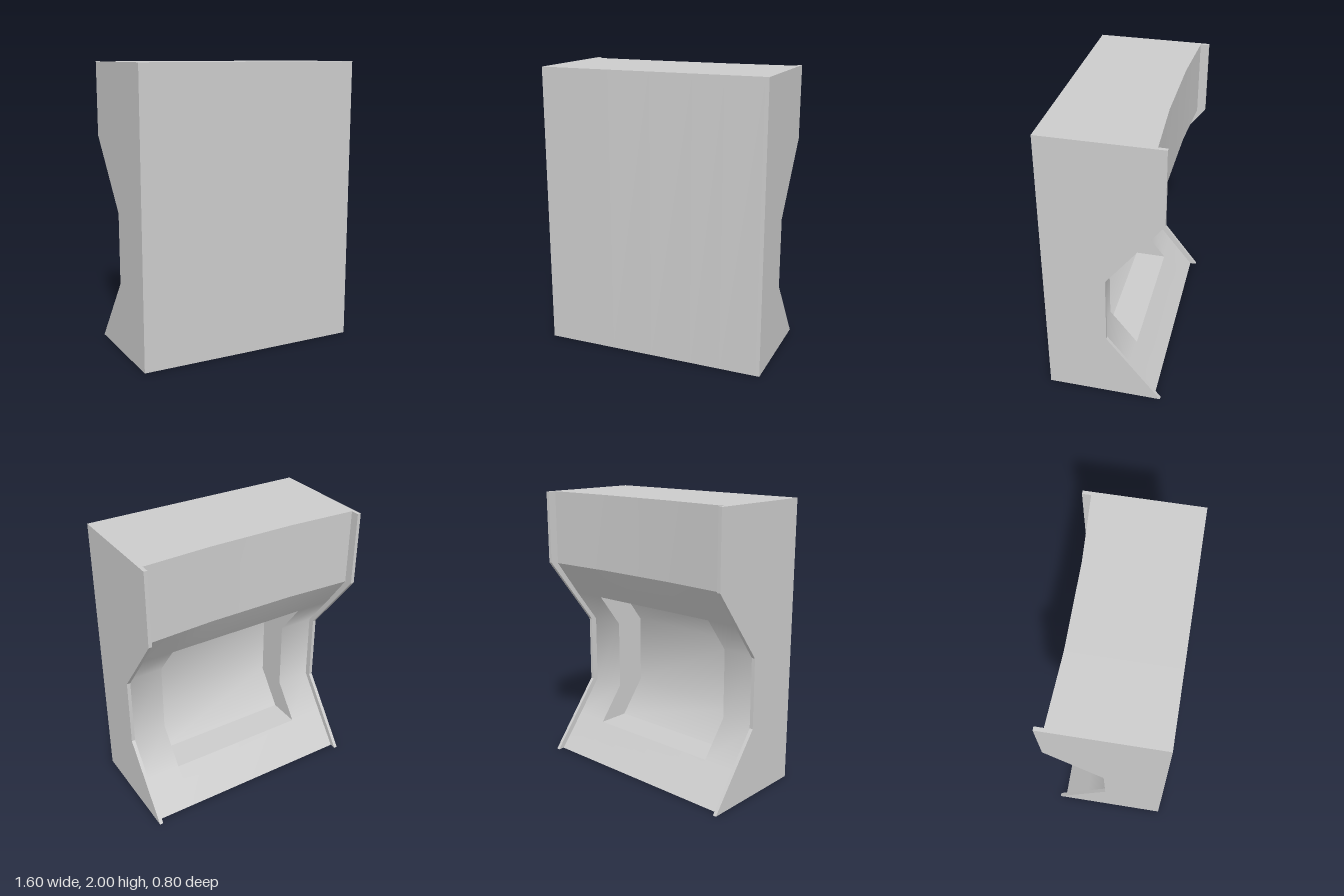
import * as THREE from 'three';

const material = new THREE.MeshStandardMaterial({ color: 0xcccccc, side: THREE.DoubleSide });

// Smooth surface through rows of points; skip(row, col) leaves a cell open
function sheet(name, rows, skip = () => false) {
  const n = rows[0].length, full = [], kept = [];
  for (let r = 0; r < rows.length - 1; r++) {
    for (let c = 0; c < n - 1; c++) {
      const a = r * n + c, b = a + n;
      const cell = [a, b, a + 1, a + 1, b, b + 1];
      full.push(...cell);
      if (!skip(r, c)) kept.push(...cell);
    }
  }
  const geo = new THREE.BufferGeometry();
  geo.setAttribute('position', new THREE.Float32BufferAttribute(rows.flat(2), 3));
  geo.setIndex(full);
  geo.computeVertexNormals();
  geo.setIndex(kept);
  const mesh = new THREE.Mesh(geo, material);
  mesh.name = name;
  return mesh;
}

export function createModel() {
  const group = new THREE.Group();
  group.name = 'cabinet';

  const W = 0.775;      // half width of the body between the side panels
  const H = 0.515;      // half width of the recess
  const DEPTH = 0.235;  // depth of the recess
  const FRONT = 0.4;
  const xs = [-W, -H, -0.3, 0, 0.3, H, W];
  const bow = x => -0.315 - 0.025 * Math.max(0, (Math.abs(x) - 0.3) / (W - 0.3));

  // Side panels with the notched outline, drawn in (z, y)
  const outline = new THREE.Shape([
    [FRONT, 0], [FRONT, 2], [-0.4, 2], [-0.4, 1.485], [-0.02, 0.99], [-0.02, 0.495], [-0.4, 0],
  ].map(([z, y]) => new THREE.Vector2(-z, y)));
  for (const side of [-1, 1]) {
    const geo = new THREE.ExtrudeGeometry(outline, { depth: 0.025, bevelEnabled: false });
    geo.rotateY(Math.PI / 2);
    geo.translate(side > 0 ? W : -0.8, 0, 0);
    const panel = new THREE.Mesh(geo, material);
    panel.name = side > 0 ? 'leftSidePanel' : 'rightSidePanel';
    group.add(panel);
  }

  // Notched back face with an opening, its top edge gently bowed
  const profile = [[0, -0.355], [0.235, -0.168], [0.485, 0.025], [0.985, 0.025], [1.225, -0.158]];
  const bowedRow = y => xs.map(x => [x, y, bow(x)]);
  const backRows = profile.map(([y, z]) => xs.map(x => [x, y, z]));
  backRows.push(bowedRow(1.475));
  group.add(sheet('notchedBack', backRows, (r, c) => r >= 1 && r <= 3 && c >= 1 && c <= 4));
  group.add(sheet('upperBack', [bowedRow(1.475), bowedRow(2)]));

  // Recess: floor parallel to the notch, and four walls
  const hole = profile.slice(1);
  const [low, high] = [hole[0], hole[3]];
  const line = ([y, z], d) => [[-H, y, z + d], [H, y, z + d]];
  group.add(sheet('recessFloor', hole.map(p => line(p, DEPTH))));
  group.add(sheet('recessBottom', [line(low, 0), line(low, DEPTH)]));
  group.add(sheet('recessTop', [line(high, DEPTH), line(high, 0)]));
  // Separate quads keep the side walls flat
  group.add(sheet('recessRightWall', hole.map(([y, z]) => [[-H, y, z], [-H, y, z + DEPTH]])));
  group.add(sheet('recessLeftWall', hole.map(([y, z]) => [[H, y, z + DEPTH], [H, y, z]])));

  // Flat outer faces
  const edge = (y, z) => xs.map(x => [x, y, z]);
  group.add(sheet('front', [edge(2, FRONT), edge(0, FRONT)]));
  group.add(sheet('top', [bowedRow(2), edge(2, FRONT)]));
  group.add(sheet('bottom', [edge(0, FRONT), edge(0, -0.355)]));
  return group;
}
